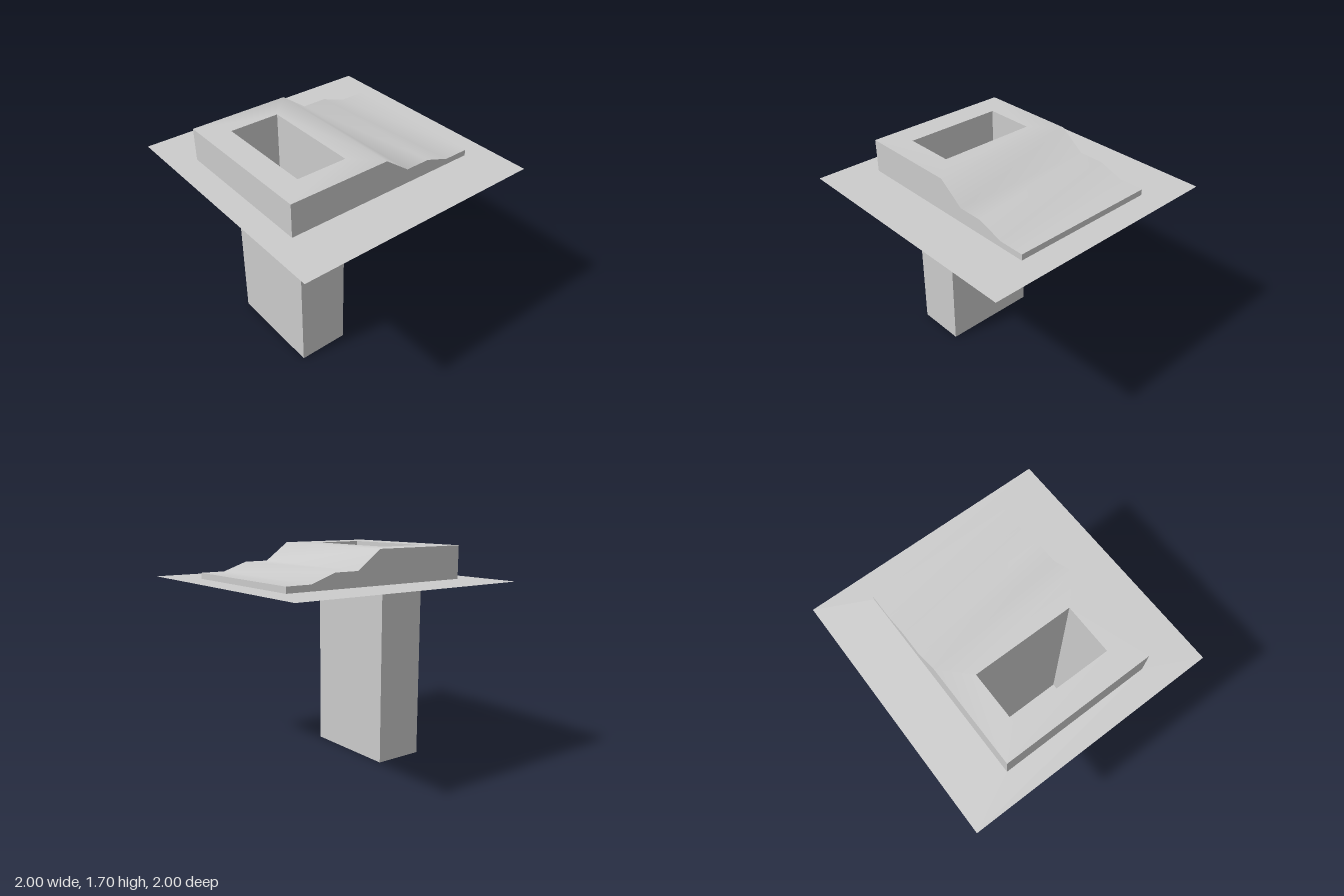
import * as THREE from 'three';
import { mergeGeometries, toCreasedNormals } from 'three/addons/utils/BufferGeometryUtils.js';

const GROUND = 1.44, TOP = 1.7;
// Stepped rear slope as [z, y], from the back edge up to the flat top
const SLOPE = [[-0.8, 1.487], [-0.6, 1.487], [-0.4, 1.555], [-0.2, 1.555], [0, TOP]];

const rectPoints = (x, z0, z1) => [[-x, -z1], [x, -z1], [x, -z0], [-x, -z0]].map(p => new THREE.Vector2(...p));

// Flat horizontal sheet with a rectangular opening, facing up
function sheetWithOpening(outer, inner, y) {
  const shape = new THREE.Shape(rectPoints(...outer));
  shape.holes.push(new THREE.Path(rectPoints(...inner)));
  return new THREE.ShapeGeometry(shape).rotateX(-Math.PI / 2).translate(0, y, 0);
}

export function createModel() {
  const group = new THREE.Group();
  const material = new THREE.MeshStandardMaterial({ color: 0xcccccc, side: THREE.DoubleSide });
  const add = (name, geometry) => {
    const mesh = new THREE.Mesh(geometry, material);
    mesh.name = name;
    group.add(mesh);
    return mesh;
  };

  // Thin surrounding sheet, open under the raised block
  add('groundSheet', sheetWithOpening([1, -1, 1], [0.6, -0.8, 0.8], GROUND));

  // Block top with the shaft opening, flowing smoothly into the stepped slope
  const top = sheetWithOpening([0.6, 0, 0.8], [0.4, 0.2, 0.6], TOP);
  const slope = new THREE.PlaneGeometry(1.2, 0.8, 1, SLOPE.length - 1).rotateX(-Math.PI / 2);
  const pos = slope.attributes.position;
  for (let i = 0; i < pos.count; i++) {
    const [z, y] = SLOPE[Math.floor(i / 2)];
    pos.setY(i, y);
    pos.setZ(i, z);
  }
  slope.computeVertexNormals();
  add('blockTop', toCreasedNormals(mergeGeometries([top, slope]), 0.8));

  // Side walls following the slope profile
  const profile = [[-0.8, GROUND], [0.8, GROUND], [0.8, TOP], ...[...SLOPE].reverse()];
  const side = new THREE.ShapeGeometry(new THREE.Shape(profile.map(p => new THREE.Vector2(...p))));
  side.rotateY(-Math.PI / 2).translate(-0.6, 0, 0);
  add('rightWall', side);
  add('leftWall', side).scale.x = -1;

  // Front wall and the low rear lip
  const frontH = TOP - GROUND, backH = SLOPE[0][1] - GROUND;
  add('frontWall', new THREE.PlaneGeometry(1.2, frontH).translate(0, GROUND + frontH / 2, 0.8));
  add('rearLip', new THREE.PlaneGeometry(1.2, backH).rotateY(Math.PI).translate(0, GROUND + backH / 2, -0.8));

  // Deep shaft: a box with a floor and no lid
  const shaft = new THREE.BoxGeometry(0.8, TOP, 0.4).translate(0, TOP / 2, 0.4);
  const index = [...shaft.index.array];
  index.splice(12, 6);
  shaft.setIndex(index);
  shaft.clearGroups();
  add('shaft', shaft);

  return group;
}
